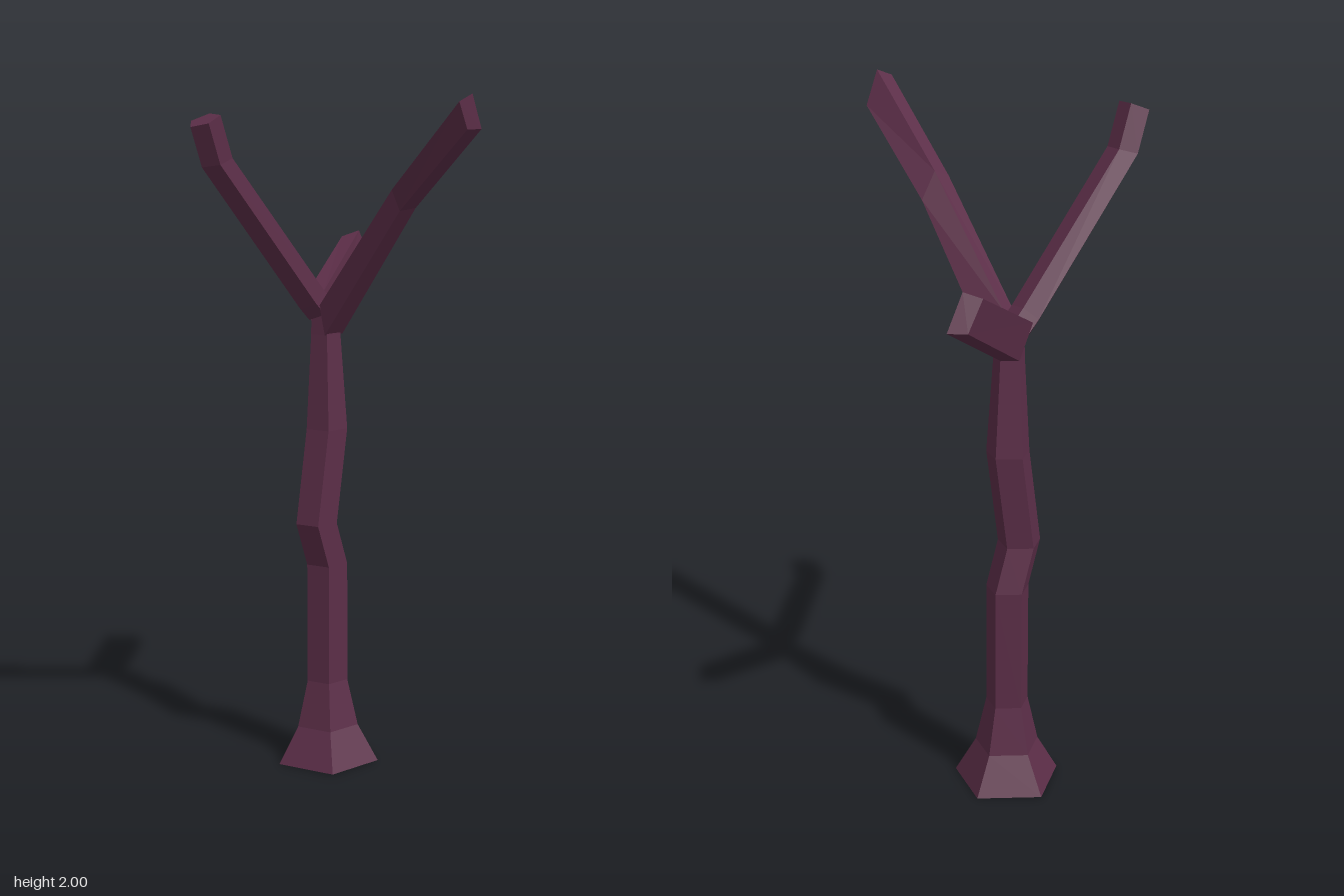
import * as THREE from 'three';

const V = (x, y, z) => new THREE.Vector3(x, y, z);

// Closed, flat-shaded skin over a list of rings with equal point counts
function loft(rings) {
  const n = rings[0].length, tris = [];
  for (let k = 0; k < rings.length - 1; k++) {
    for (let i = 0; i < n; i++) {
      const j = (i + 1) % n;
      const a = rings[k][i], b = rings[k][j], c = rings[k + 1][j], d = rings[k + 1][i];
      tris.push([a, b, c], [a, c, d]);
    }
  }
  const first = rings[0], last = rings[rings.length - 1];
  for (let i = 1; i < n - 1; i++) {
    tris.push([first[0], first[i + 1], first[i]], [last[0], last[i], last[i + 1]]);
  }
  // Signed volume tells whether the skin faces outward
  const o = first[0];
  let volume = 0;
  for (const t of tris) {
    const [a, b, c] = t.map((p) => p.clone().sub(o));
    volume += a.dot(b.cross(c));
  }
  if (volume < 0) tris.forEach((t) => t.reverse());
  const geometry = new THREE.BufferGeometry().setFromPoints(tris.flat());
  geometry.computeVertexNormals();
  return geometry;
}

// Pentagon around a centre, leaning by tilt in the x-y plane
function pentagon(x, y, z, r, start, tilt = 0) {
  return Array.from({ length: 5 }, (_, i) => {
    const a = THREE.MathUtils.degToRad(start + i * 72);
    const u = Math.cos(a) * r;
    return V(x + u * Math.cos(tilt), y + u * Math.sin(tilt), z + Math.sin(a) * r);
  });
}

export function createModel() {
  const group = new THREE.Group();
  const bark = new THREE.MeshStandardMaterial({ color: 0x5c2e48 });
  bark.name = 'plum bark';
  const add = (name, rings) => {
    const mesh = new THREE.Mesh(loft(rings), bark);
    mesh.name = name;
    group.add(mesh);
  };

  // Trunk with flared foot and a kink: [centre x, y, radius]
  const trunk = [
    [0.08, 0, 0.157], [0.08, 0.11, 0.095], [0.08, 0.25, 0.063], [0.08, 0.61, 0.063],
    [0.038, 0.74, 0.063], [0.08, 1.02, 0.063], [0.077, 1.3, 0.045], [0.075, 1.4, 0.042],
  ];
  add('trunk', trunk.map(([x, y, r]) => pentagon(x, y, -0.188, r, -90)));

  // Bent five-sided branch to the right
  add('rightBranch', [
    pentagon(0.055, 1.375, -0.19, 0.046, 187, 0.75),
    pentagon(0.02, 1.41, -0.19, 0.046, 187, 0.75),
    pentagon(-0.324, 1.812, -0.19, 0.047, 187, 0.3),
    pentagon(-0.37, 1.927, -0.182, 0.047, 187, 0.4),
  ]);

  // Long four-sided branch reaching forward
  add('frontBranch', [
    [V(0.02, 1.39, -0.15), V(0.065, 1.415, -0.15), V(0.115, 1.3, -0.155), V(0.045, 1.3, -0.155)],
    [V(0.037, 1.735, 0.13), V(0.085, 1.755, 0.13), V(0.13, 1.68, 0.13), V(0.068, 1.675, 0.13)],
    [V(0.05, 1.98, 0.373), V(0.1, 2.0, 0.373), V(0.14, 1.905, 0.37), V(0.085, 1.905, 0.37)],
  ]);

  // Short four-sided branch to the left and back
  add('leftBranch', [
    [V(0.085, 1.42, -0.205), V(0.035, 1.4, -0.237), V(0.08, 1.3, -0.235), V(0.12, 1.3, -0.205)],
    [V(0.358, 1.573, -0.345), V(0.317, 1.555, -0.377), V(0.366, 1.47, -0.377), V(0.41, 1.472, -0.345)],
  ]);

  return group;
}
